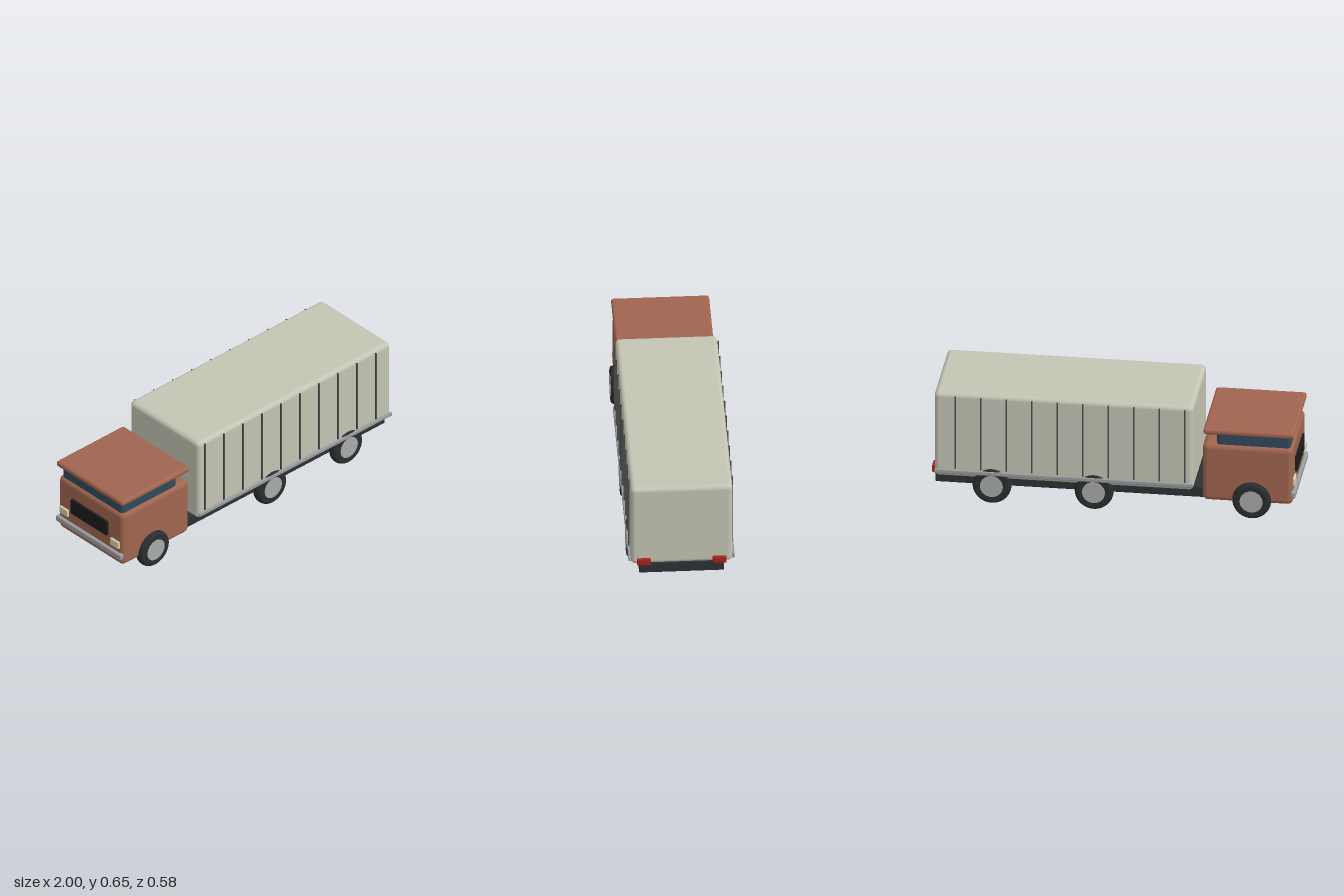
import * as THREE from 'three';
import { RoundedBoxGeometry } from 'three/addons/geometries/RoundedBoxGeometry.js';

const mat = (color) => new THREE.MeshStandardMaterial({ color });

export function createModel() {
  const truck = new THREE.Group();
  truck.name = 'boxTruck';

  const paint = mat(0xa0654f), cargo = mat(0xc4c4b4), dark = mat(0x2c3133), rubber = mat(0x2a2d2e);
  const glass = mat(0x2f4a5a), metal = mat(0x9a9da0), hubGrey = mat(0xa8aaaa);
  const red = mat(0xa8201a), lamp = mat(0xd8d2a8), black = mat(0x1a1c1d), ribGrey = mat(0x4a4c4a);

  const add = (name, geometry, material, parent = truck) => {
    const mesh = new THREE.Mesh(geometry, material);
    mesh.name = name;
    parent.add(mesh);
    return mesh;
  };
  // Box given by its limits on each axis, with rounded edges
  const block = (name, material, [x0, x1], [y0, y1], [z0, z1], r) => {
    const mesh = add(name, new RoundedBoxGeometry(x1 - x0, y1 - y0, z1 - z0, 4, r), material);
    mesh.position.set((x0 + x1) / 2, (y0 + y1) / 2, (z0 + z1) / 2);
    return mesh;
  };

  // Frame and cargo body
  block('chassis', dark, [-0.6, 0.98], [0.092, 0.156], [-0.232, 0.232], 0.006);
  block('cargoBox', cargo, [-0.44, 0.98], [0.148, 0.652], [-0.278, 0.278], 0.026);

  // Cab, window band and overhanging roof; the truck drives towards -x
  block('cab', paint, [-0.983, -0.488], [0.086, 0.427], [-0.26, 0.26], 0.03);
  block('windowBand', glass, [-0.968, -0.566], [0.4, 0.5], [-0.243, 0.243], 0.018);
  block('cabRoof', paint, [-0.992, -0.494], [0.488, 0.523], [-0.267, 0.267], 0.015);

  // Cab nose
  block('grille', black, [-0.996, -0.975], [0.238, 0.332], [-0.145, 0.145], 0.004);
  block('bumper', metal, [-1, -0.972], [0.13, 0.168], [-0.262, 0.262], 0.01);

  // Tyre section turned about its axle, with rounded shoulders
  const tyreProfile = new THREE.SplineCurve([
    [0.062, -0.028], [0.09, -0.0285], [0.1, -0.023], [0.105, -0.013], [0.1065, 0],
    [0.105, 0.013], [0.1, 0.023], [0.09, 0.0285], [0.062, 0.028],
  ].map(([r, h]) => new THREE.Vector2(r, h))).getPoints(24);
  const tyre = new THREE.LatheGeometry(tyreProfile, 40);
  const hub = new THREE.CylinderGeometry(0.063, 0.063, 0.06, 32);

  for (const side of [-1, 1]) {
    const name = side > 0 ? 'left' : 'right';
    const span = (a, b) => (side > 0 ? [a, b] : [-b, -a]);

    // Wheels
    for (const x of [-0.76, 0.105, 0.665]) {
      const wheel = new THREE.Group();
      wheel.name = name + 'Wheel';
      add('tyre', tyre, rubber, wheel);
      add('hub', hub, hubGrey, wheel);
      wheel.rotation.x = Math.PI / 2;
      wheel.position.set(x, 0.1075, side * 0.257);
      truck.add(wheel);
    }

    // Thin upright ribs along the cargo sides
    for (let i = 0; i < 10; i++) {
      const rib = add(name + 'Rib', new THREE.BoxGeometry(0.007, 0.437, 0.009), ribGrey);
      rib.position.set(-0.395 + i * 0.14, 0.418, side * 0.2815);
    }

    // Lower side rail and lamps
    block(name + 'SideRail', metal, [-0.44, 0.98], [0.17, 0.195], span(0.276, 0.29), 0.0065);
    block(name + 'Headlight', lamp, [-0.995, -0.972], [0.195, 0.24], span(0.17, 0.237), 0.005);
    block(name + 'TailLight', red, [0.972, 0.998], [0.153, 0.19], span(0.169, 0.243), 0.004);
  }

  return truck;
}
